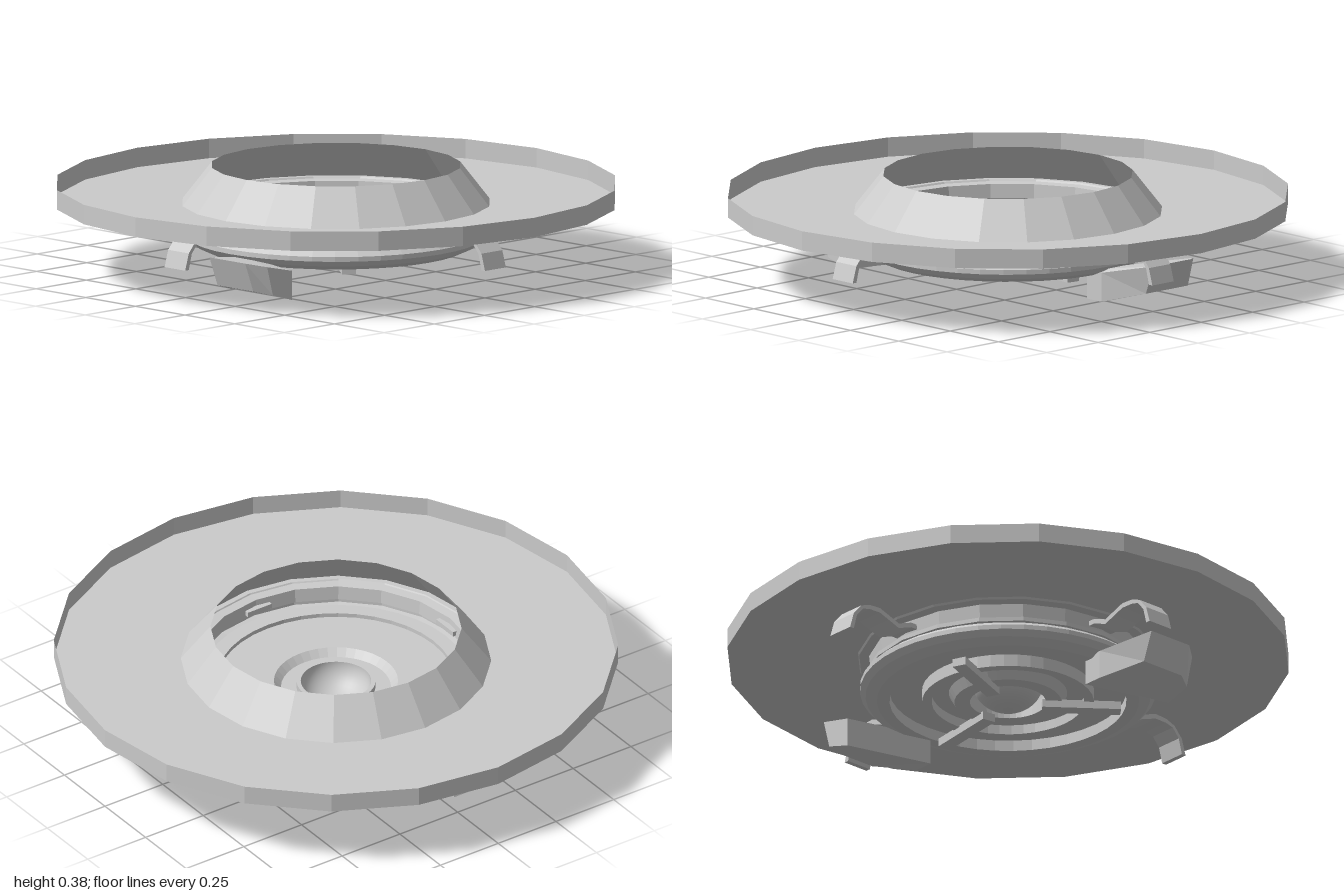
import * as THREE from 'three';

const mat = new THREE.MeshStandardMaterial({ color: 0xcccccc, flatShading: true, side: THREE.DoubleSide });
const smooth = new THREE.MeshStandardMaterial({ color: 0xcccccc, side: THREE.DoubleSide });

// Revolve [radius, height] points round the y axis
function lathe(name, pts, sides = 20) {
  const geo = new THREE.LatheGeometry(pts.map(([r, y]) => new THREE.Vector2(r, y)), sides);
  const mesh = new THREE.Mesh(geo, mat);
  mesh.name = name;
  return mesh;
}

// Bent strip spring, pointing along +x
function springClip() {
  const path = [[0.47, 0.218], [0.51, 0.218], [0.57, 0.196], [0.62, 0.214], [0.66, 0.228],
    [0.71, 0.225], [0.75, 0.21], [0.785, 0.17], [0.803, 0.11]];
  const t = 0.018;
  const shape = new THREE.Shape();
  path.forEach(([x, y], i) => (i ? shape.lineTo(x, y) : shape.moveTo(x, y)));
  path.slice().reverse().forEach(([x, y]) => {
    const k = Math.max(0, (x - 0.7) / 0.103);
    shape.lineTo(x - t * k, y - t * (1 - k));
  });
  const geo = new THREE.ExtrudeGeometry(shape, { depth: 0.104, bevelEnabled: false });
  geo.translate(0, 0, -0.052);
  const mesh = new THREE.Mesh(geo, mat);
  mesh.name = 'springClip';
  return mesh;
}

// Angular lug whose outer end rises and tapers
function lockingLug() {
  const plan = [[0.43, 0.02], [0.505, 0.02], [0.69, -0.06], [0.69, -0.24], [0.64, -0.3], [0.515, -0.3]];
  const shape = new THREE.Shape(plan.map(([x, z]) => new THREE.Vector2(x, -z)));
  const geo = new THREE.ExtrudeGeometry(shape, { depth: 0.105, bevelEnabled: false });
  geo.rotateX(-Math.PI / 2);
  const p = geo.attributes.position;
  for (let i = 0; i < p.count; i++) {
    const out = Math.max(0, (p.getX(i) - 0.515) / 0.175);
    const low = p.getY(i) < 0.05;
    p.setY(i, p.getY(i) + 0.04 * out);
    if (low) p.setX(i, p.getX(i) - 0.04 * out);
  }
  geo.computeVertexNormals();
  const mesh = new THREE.Mesh(geo, mat);
  mesh.name = 'lockingLug';
  return mesh;
}

export function createModel() {
  const model = new THREE.Group();
  model.name = 'ventCover';

  // Shallow dish with an upright rim, and the open sloping collar rising from it
  model.add(lathe('dish', [[0.53, 0.25], [1, 0.25], [1, 0.32]]));
  model.add(lathe('collar', [[0.55, 0.25], [0.445, 0.385]]));

  // Stepped neck
  model.add(lathe('neck', [[0.535, 0.25], [0.53, 0.243], [0.495, 0.24], [0.49, 0.19],
    [0.505, 0.185], [0.505, 0.17], [0.47, 0.165]]));

  // Rounded lower bead and its bottom lip
  model.add(lathe('sealBead', [[0.47, 0.168], [0.505, 0.162], [0.525, 0.145], [0.525, 0.128],
    [0.505, 0.108], [0.465, 0.09], [0.42, 0.09], [0.42, 0.13]], 40));

  // Floor with a grooved underside and a sunken centre
  model.add(lathe('floor', [[0.475, 0.175], [0.42, 0.175], [0.42, 0.16], [0.22, 0.16], [0.195, 0.135],
    [0.14, 0.135], [0.135, 0.085], [0.19, 0.085], [0.21, 0.12], [0.27, 0.12], [0.27, 0.085],
    [0.305, 0.085], [0.305, 0.13], [0.42, 0.13]], 40));

  // Hollow bowl in the centre
  const bowl = new THREE.Mesh(
    new THREE.SphereGeometry(0.125, 32, 12, 0, Math.PI * 2, Math.PI / 2, Math.PI / 2), smooth);
  bowl.name = 'centreBowl';
  bowl.scale.y = 0.85;
  bowl.position.y = 0.16;
  model.add(bowl);
  model.add(lathe('bowlRim', [[0.125, 0.16], [0.14, 0.16], [0.14, 0.13]], 40));

  // Three spokes below the floor
  for (let i = 0; i < 3; i++) {
    const geo = new THREE.BoxGeometry(0.28, 0.03, 0.05);
    geo.translate(0.26, 0.075, 0);
    const spoke = new THREE.Mesh(geo, mat);
    spoke.name = 'spoke';
    spoke.rotation.y = -THREE.MathUtils.degToRad(8 + 120 * i);
    model.add(spoke);
  }

  // Four spring clips round the neck
  for (let i = 0; i < 4; i++) {
    const clip = springClip();
    clip.rotation.y = (i * Math.PI) / 2;
    model.add(clip);
  }

  // Two opposite locking lugs
  for (let i = 0; i < 2; i++) {
    const lug = lockingLug();
    lug.rotation.y = i * Math.PI;
    model.add(lug);
  }
  return model;
}
